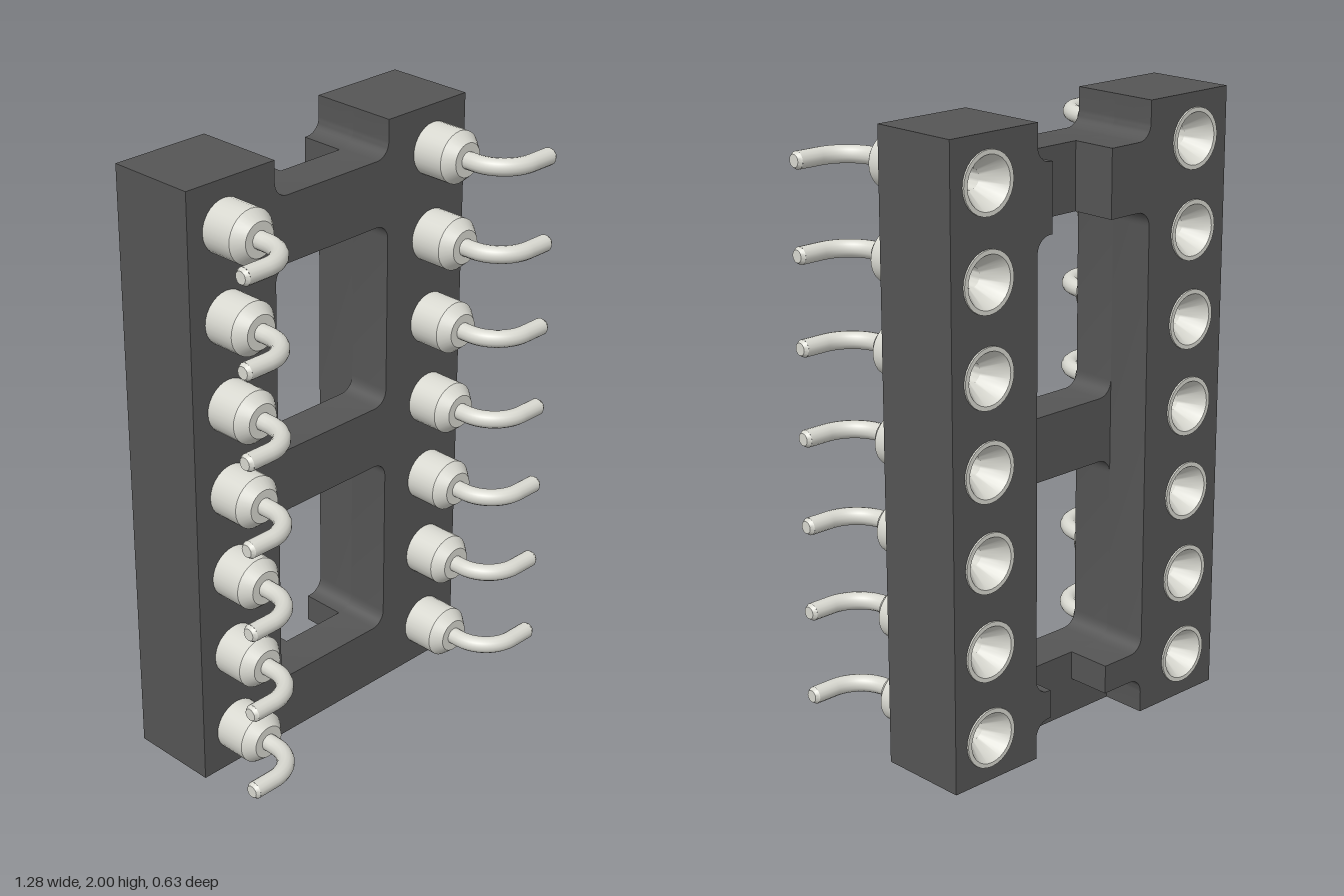
import * as THREE from 'three';
import { toCreasedNormals } from 'three/addons/utils/BufferGeometryUtils.js';

const HALF_W = 0.572, RAIL_X = 0.235, PIN_X = 0.43, PIN_R = 0.085, FILLET = 0.05;
const PIN_YS = Array.from({ length: 7 }, (_, i) => 0.143 + i * 0.2857);

// Quarter-round from the current point to (ex, ey) around the corner (cx, cy)
function fillet(path, cx, cy, ex, ey) {
  const k = 0.5523, p = path.currentPoint;
  path.bezierCurveTo(p.x + (cx - p.x) * k, p.y + (cy - p.y) * k,
    ex + (cx - ex) * k, ey + (cy - ey) * k, ex, ey);
}

function roundedWindow(x, y0, y1, r) {
  const p = new THREE.Path();
  p.moveTo(-x + r, y0);
  p.lineTo(x - r, y0); fillet(p, x, y0, x, y0 + r);
  p.lineTo(x, y1 - r); fillet(p, x, y1, x - r, y1);
  p.lineTo(-x + r, y1); fillet(p, -x, y1, -x, y1 - r);
  p.lineTo(-x, y0 + r); fillet(p, -x, y0, -x + r, y0);
  return p;
}

function drillPins(shape, side) {
  for (const y of PIN_YS) {
    const hole = new THREE.Path();
    hole.absarc(side * PIN_X, y, PIN_R, 0, Math.PI * 2, true);
    shape.holes.push(hole);
  }
}

function slab(shape, z0, z1) {
  const geo = new THREE.ExtrudeGeometry(shape, { depth: z1 - z0, bevelEnabled: false, curveSegments: 8 });
  geo.translate(0, 0, z0);
  return toCreasedNormals(geo, 0.6);
}

// Front layer: two rails joined by three cross bars, notched at the top
function frameShape() {
  const s = new THREE.Shape(), x = RAIL_X, r = FILLET;
  s.moveTo(-HALF_W, 0);
  s.lineTo(HALF_W, 0);
  s.lineTo(HALF_W, 2);
  s.lineTo(x, 2);
  s.lineTo(x, 1.88 + r); fillet(s, x, 1.88, x - r, 1.88);
  s.lineTo(-x + r, 1.88); fillet(s, -x, 1.88, -x, 1.88 + r);
  s.lineTo(-x, 2);
  s.lineTo(-HALF_W, 2);
  s.holes.push(roundedWindow(x, 0.215, 0.835, r), roundedWindow(x, 1.045, 1.665, r));
  drillPins(s, 1);
  drillPins(s, -1);
  return s;
}

// Back layer: one rail with a short tab at each end reaching in to tabX
function railShape(side, tabX) {
  const s = new THREE.Shape(), x = side * RAIL_X, xi = side * (RAIL_X - FILLET), t = side * tabX;
  s.moveTo(side * HALF_W, 0);
  s.lineTo(side * HALF_W, 2);
  s.lineTo(x, 2);
  for (const [top, bottom] of [[1.88, 1.665], [0.215, 0.12]]) {
    s.lineTo(x, top + FILLET); fillet(s, x, top, xi, top);
    s.lineTo(t, top);
    s.lineTo(t, bottom);
    s.lineTo(xi, bottom); fillet(s, x, bottom, x, bottom - FILLET);
  }
  s.lineTo(x, 0);
  drillPins(s, side);
  return s;
}

// Turned contact: funnel and bore at the back, chamfered barrel at the front
function contactGeometry() {
  const profile = [
    [0, -0.05], [0.032, -0.05], [0.032, -0.24], [0.082, -0.316], [0.096, -0.316], [0.096, -0.31],
    [PIN_R, -0.31], [PIN_R, 0.1], [0.055, 0.135], [0, 0.135],
  ].map(([r, y]) => new THREE.Vector2(r, y));
  const geo = new THREE.LatheGeometry(profile, 28).rotateX(Math.PI / 2);
  return toCreasedNormals(geo, 0.5);
}

// Wire leaving the contact forwards and bending outwards
function legGeometry(side) {
  const v = (x, z) => new THREE.Vector3(side * x, 0, z);
  const path = new THREE.CurvePath();
  path.add(new THREE.LineCurve3(v(0, 0.12), v(0, 0.165)));
  path.add(new THREE.CubicBezierCurve3(v(0, 0.165), v(0, 0.231), v(0.054, 0.285), v(0.12, 0.285)));
  path.add(new THREE.LineCurve3(v(0.12, 0.285), v(0.2, 0.285)));
  return new THREE.TubeGeometry(path, 28, 0.028, 14);
}

export function createModel() {
  const model = new THREE.Group();
  const plastic = new THREE.MeshStandardMaterial({ color: 0x555555 });
  const metal = new THREE.MeshStandardMaterial({ color: 0xd8d8d0 });
  const add = (parent, name, geo, mat) => {
    const mesh = new THREE.Mesh(geo, mat);
    mesh.name = name;
    parent.add(mesh);
    return mesh;
  };

  const body = new THREE.Group();
  body.name = 'socketBody';
  model.add(body);
  add(body, 'frame', slab(frameShape(), -0.16, -0.01), plastic);
  add(body, 'leftRail', slab(railShape(1, 0.175), -0.31, -0.16), plastic);
  add(body, 'rightRail', slab(railShape(-1, 0.07), -0.31, -0.16), plastic);

  // Two mirrored rows of pins
  const contact = contactGeometry();
  for (const side of [1, -1]) {
    const leg = legGeometry(side);
    const tip = toCreasedNormals(new THREE.CylinderGeometry(0.02, 0.028, 0.012, 14), 0.5);
    tip.rotateZ(-side * Math.PI / 2).translate(side * 0.206, 0, 0.285);
    for (const y of PIN_YS) {
      const pin = new THREE.Group();
      pin.name = side > 0 ? 'leftPin' : 'rightPin';
      pin.position.set(side * PIN_X, y, 0);
      add(pin, 'contact', contact, metal);
      add(pin, 'leg', leg, metal);
      add(pin, 'legTip', tip, metal);
      model.add(pin);
    }
  }
  return model;
}
